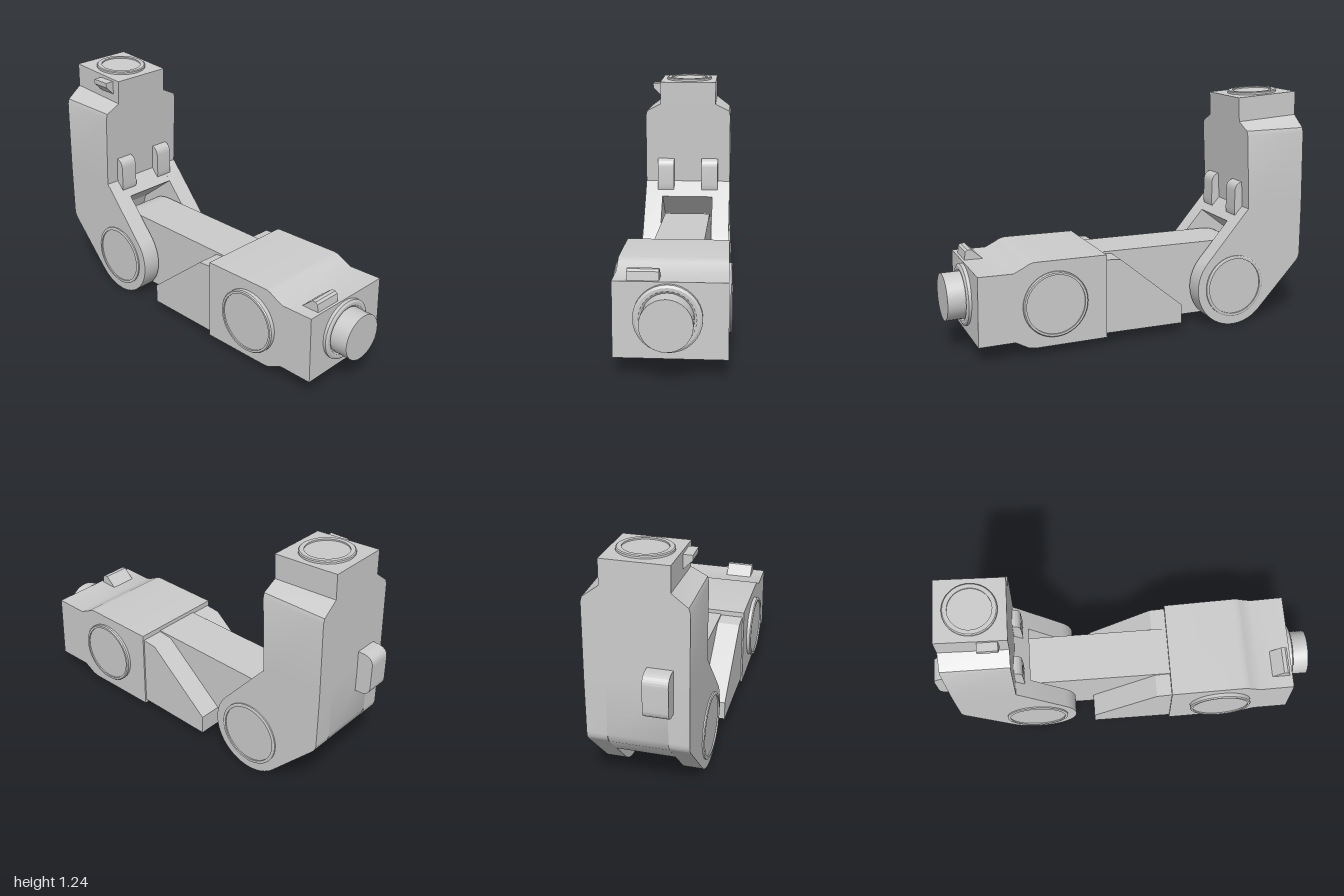
import * as THREE from 'three';
import { toCreasedNormals } from 'three/addons/utils/BufferGeometryUtils.js';

const material = new THREE.MeshStandardMaterial({ color: 0xcccccc });

export function createModel() {
  const model = new THREE.Group();

  const add = (name, geometry) => {
    const mesh = new THREE.Mesh(toCreasedNormals(geometry, 0.5), material);
    mesh.name = name;
    model.add(mesh);
    return mesh;
  };
  const outline = (points) => new THREE.Shape(points.map(([x, y]) => new THREE.Vector2(x, y)));
  // Side profile (x, y) carried from z0 to z1
  const extrudeZ = (shape, z0, z1) => new THREE.ExtrudeGeometry(shape, { depth: z1 - z0, bevelEnabled: false, curveSegments: 20 }).translate(0, 0, z0);
  // End profile (-z, y) carried from x0 to x1
  const extrudeX = (shape, x0, x1) => extrudeZ(shape, x0, x1).rotateY(Math.PI / 2);
  const warp = (geometry, rule) => {
    const p = geometry.attributes.position;
    const v = new THREE.Vector3();
    for (let i = 0; i < p.count; i++) {
      rule(v.fromBufferAttribute(p, i));
      p.setXYZ(i, v.x, v.y, v.z);
    }
    return geometry;
  };
  // Round cap with a raised rim, rising along +y
  const cap = (r, h, rim) => new THREE.LatheGeometry([
    [r, -0.02], [r, h * 0.7], [r - 0.005, h], [r - rim, h], [r - rim, h - 0.007], [0, h - 0.007],
  ].map(([x, y]) => new THREE.Vector2(x, y)), 40);

  // Post: shouldered upper block with leaning sides and a tilted top
  const postEnd = outline([
    [-0.245, 0.63], [0.245, 0.63], [0.245, 1.02], [0.238, 1.045], [0.16, 1.095], [0.16, 1.22],
    [-0.16, 1.22], [-0.16, 1.095], [-0.238, 1.045], [-0.245, 1.02],
  ]);
  add('post', warp(extrudeX(postEnd, 0, 1), (v) => {
    const rise = (v.y - 0.63) / 0.59;
    const side = v.x;
    v.x = THREE.MathUtils.lerp(-0.92 + 0.013 * rise, -0.592 + 0.029 * rise, side);
    if (v.y > 1.06) v.y += 0.01 - 0.02 * side;
  }));

  // Fork cheeks either side of the pivot
  const px = -0.515, py = 0.215;
  const cheek = new THREE.Shape();
  cheek.moveTo(-0.92, 0.63);
  cheek.lineTo(-0.92, 0.36);
  cheek.quadraticCurveTo(-0.92, 0.33, -0.9, 0.309);
  cheek.absarc(px, py, 0.215, THREE.MathUtils.degToRad(223.4), THREE.MathUtils.degToRad(400.9), false);
  cheek.lineTo(-0.575, 0.613);
  cheek.lineTo(-0.592, 0.63);
  cheek.closePath();
  add('forkCheekLeft', extrudeZ(cheek, 0.145, 0.245));
  add('forkCheekRight', extrudeZ(cheek, -0.245, -0.145));

  // Solid web joining the cheeks above the slot
  add('forkWeb', extrudeZ(outline([
    [-0.92, 0.63], [-0.92, 0.36], [-0.9, 0.309], [-0.8, 0.203], [-0.74, 0.38], [-0.52, 0.55], [-0.592, 0.63],
  ]), -0.145, 0.145));

  // Rounded pads on the post
  const frontPad = new THREE.Shape();
  frontPad.moveTo(-0.61, 0.577);
  frontPad.lineTo(-0.553, 0.577);
  frontPad.quadraticCurveTo(-0.546, 0.59, -0.546, 0.62);
  frontPad.lineTo(-0.546, 0.715);
  frontPad.quadraticCurveTo(-0.548, 0.762, -0.59, 0.765);
  frontPad.lineTo(-0.61, 0.765);
  for (const z of [-0.175, 0.08]) add('frontPad', extrudeZ(frontPad, z, z + 0.095));

  const backPad = new THREE.Shape();
  backPad.moveTo(-0.9, 0.74);
  backPad.lineTo(-0.95, 0.74);
  backPad.quadraticCurveTo(-1, 0.735, -1, 0.69);
  backPad.lineTo(-1, 0.57);
  backPad.quadraticCurveTo(-1, 0.525, -0.95, 0.52);
  backPad.lineTo(-0.9, 0.52);
  add('backPad', extrudeZ(backPad, 0.05, 0.17));

  // Top socket and small catch on the post head
  const socket = add('topSocket', cap(0.131, 0.014, 0.026));
  socket.position.set(-0.735, 1.22, 0);
  socket.rotation.z = -0.055;
  add('headCatch', extrudeX(outline([
    [-0.15, 1.2], [-0.205, 1.2], [-0.205, 1.175], [-0.16, 1.13], [-0.15, 1.13],
  ]), -0.71, -0.61));

  // Arm bar with a rounded end inside the fork
  const bar = new THREE.Shape();
  bar.moveTo(0.25, 0.06);
  bar.lineTo(0.25, 0.455);
  bar.lineTo(px, 0.445);
  bar.absarc(px, 0.247, 0.198, Math.PI / 2, Math.PI * 1.5, false);
  bar.closePath();
  add('armBar', extrudeZ(bar, -0.13, 0.13));

  // Gussets along both sides of the arm
  const gusset = outline([[-0.2, 0.053], [0.24, 0.06], [0.24, 0.45], [0.145, 0.44], [-0.2, 0.153]]);
  add('gussetLeft', extrudeZ(gusset, 0.12, 0.25));
  add('gussetRight', extrudeZ(gusset, -0.25, -0.12));

  // Elbow housing, turned slightly toward the back
  const housing = new THREE.Shape();
  housing.moveTo(0.225, 0.04);
  housing.lineTo(0.6, 0.045);
  housing.quadraticCurveTo(0.64, 0.047, 0.66, 0.062);
  housing.lineTo(0.71, 0.09);
  housing.lineTo(0.895, 0.092);
  housing.lineTo(0.887, 0.445);
  housing.lineTo(0.71, 0.44);
  housing.lineTo(0.65, 0.468);
  housing.quadraticCurveTo(0.63, 0.483, 0.6, 0.484);
  housing.lineTo(0.225, 0.476);
  add('elbowHousing', warp(extrudeZ(housing, -0.258, 0.258), (v) => {
    const along = (v.x - 0.225) / 0.67;
    v.z += v.z > 0 ? -0.008 * along : -0.014 * along;
  }));

  // Joint caps on both sides
  for (const s of [1, -1]) {
    const pivot = add('pivotCap', cap(0.168, 0.01, 0.016));
    pivot.position.set(px, py, s * 0.245);
    pivot.rotation.x = s * Math.PI / 2;
    const elbow = add('elbowCap', cap(0.168, 0.02, 0.016));
    elbow.position.set(0.5, 0.26, s * 0.26);
    elbow.rotation.x = s * Math.PI / 2;
  }

  // End flange and stub
  const stub = add('endStub', new THREE.LatheGeometry([
    [0.157, 0], [0.157, 0.035], [0.145, 0.042], [0.13, 0.042], [0.12, 0.035], [0.12, 0.13], [0, 0.13],
  ].map(([x, y]) => new THREE.Vector2(x, y)), 32));
  stub.position.set(0.87, 0.28, 0);
  stub.rotation.z = -Math.PI / 2;

  // Catch on top of the housing
  add('housingCatch', extrudeZ(outline([
    [0.765, 0.43], [0.875, 0.43], [0.867, 0.485], [0.855, 0.494], [0.835, 0.494],
  ]), 0.04, 0.185));

  return model;
}
